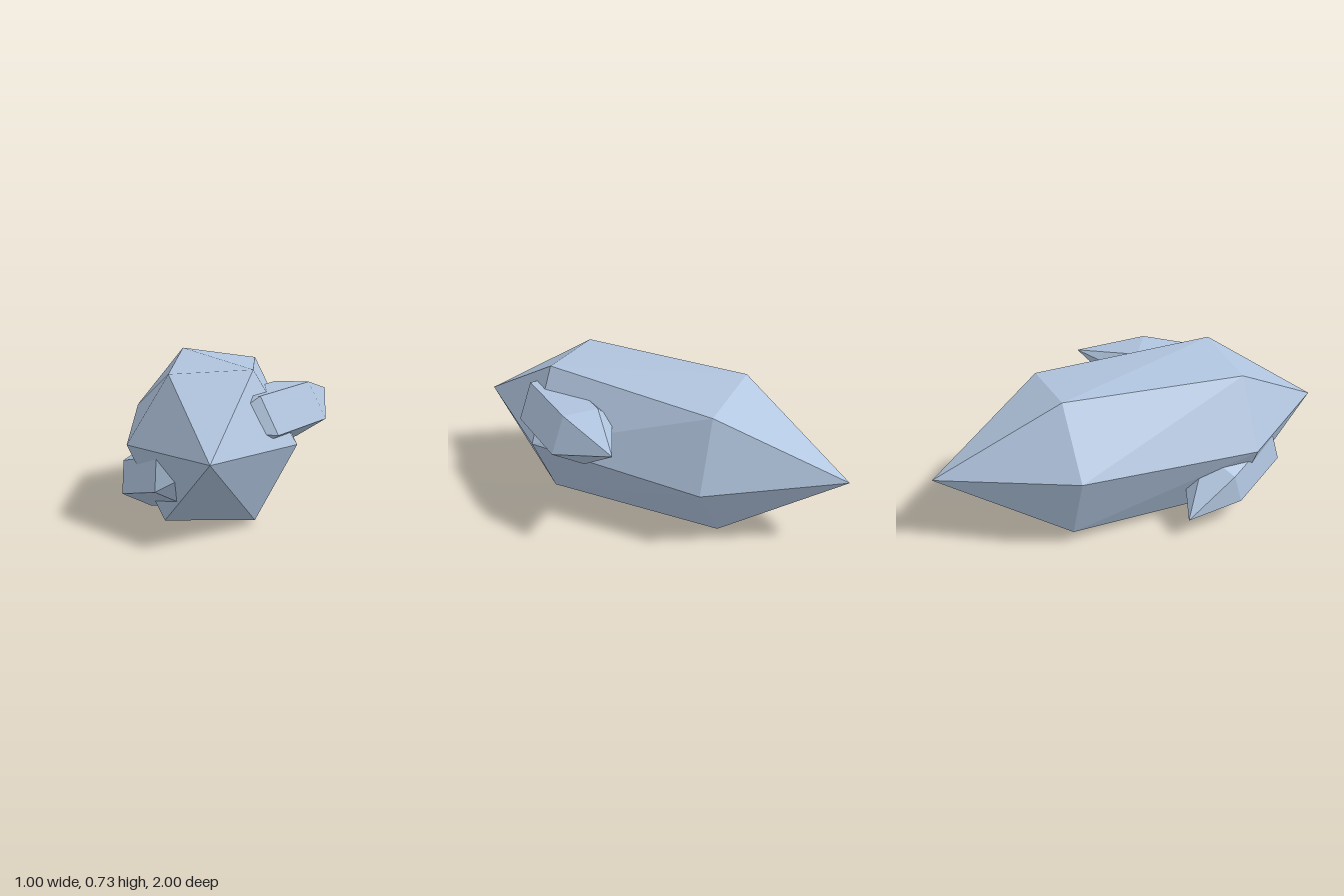
import * as THREE from 'three';

// Double-pointed crystal: front tip, front ring, back ring, back tip.
function crystal(name, material, frontTip, front, back, backTip) {
  const v = (p) => new THREE.Vector3(...p);
  const centre = new THREE.Vector3();
  [...front, ...back].forEach((p) => centre.add(v(p)));
  centre.divideScalar(front.length + back.length);

  const positions = [];
  const face = (...corners) => {
    let [a, b, c] = corners.map(v);
    const normal = b.clone().sub(a).cross(c.clone().sub(a));
    if (normal.dot(a.clone().sub(centre)) < 0) [b, c] = [c, b]; // face outward
    for (const p of [a, b, c]) positions.push(p.x, p.y, p.z);
  };
  front.forEach((f, i) => {
    const j = (i + 1) % front.length;
    face(frontTip, f, front[j]);
    face(f, front[j], back[i]);
    face(front[j], back[j], back[i]);
    face(backTip, back[i], back[j]);
  });

  const geometry = new THREE.BufferGeometry();
  geometry.setAttribute('position', new THREE.Float32BufferAttribute(positions, 3));
  geometry.computeVertexNormals();
  const mesh = new THREE.Mesh(geometry, material);
  mesh.name = name;
  return mesh;
}

const atZ = (ring, z) => ring.map(([x, y]) => [x, y, z]);
const shift = (ring, [dx, dy, dz]) => ring.map(([x, y, z]) => [x + dx, y + dy, z + dz]);

export function createModel() {
  const group = new THREE.Group();
  group.name = 'crystalCluster';
  const stone = new THREE.MeshStandardMaterial({ color: 0xb0c4de, flatShading: true });
  stone.name = 'pale blue stone';

  // Large crystal with slightly twisted hexagonal ends
  const mainFront = [[-0.45, 0.37], [-0.26, 0.69], [0.12, 0.71], [0.32, 0.37], [0.13, 0.02], [-0.28, 0.02]];
  const mainBack = [[-0.455, 0.43], [-0.215, 0.73], [0.165, 0.68], [0.285, 0.32], [0.07, 0.0], [-0.315, 0.06]];
  group.add(crystal('mainCrystal', stone,
    [-0.075, 0.372, 1], atZ(mainFront, 0.5), atZ(mainBack, -0.4), [-0.075, 0.372, -1]));

  // Upper side crystal, leaning out to the model's left
  const upperBack = [[0.24, 0.62, 0.165], [0.39, 0.628, 0.265], [0.47, 0.455, 0.285],
    [0.34, 0.357, 0.19], [0.21, 0.38, 0.12], [0.15, 0.53, 0.14]];
  group.add(crystal('upperSideCrystal', stone,
    [-0.07, 0.46, 0.68], shift(upperBack, [-0.243, -0.023, 0.342]), upperBack, [0.5, 0.56, -0.06]));

  // Lower side crystal, leaning out to the model's right
  const lowerBack = [[-0.48, 0.125, 0.41], [-0.475, 0.275, 0.37], [-0.34, 0.355, 0.273],
    [-0.21, 0.285, 0.216], [-0.215, 0.135, 0.256], [-0.35, 0.055, 0.353]];
  group.add(crystal('lowerSideCrystal', stone,
    [-0.107, 0.306, 0.73], shift(lowerBack, [0.165, 0.07, 0.29]), lowerBack, [-0.5, 0.105, 0.12]));

  return group;
}
